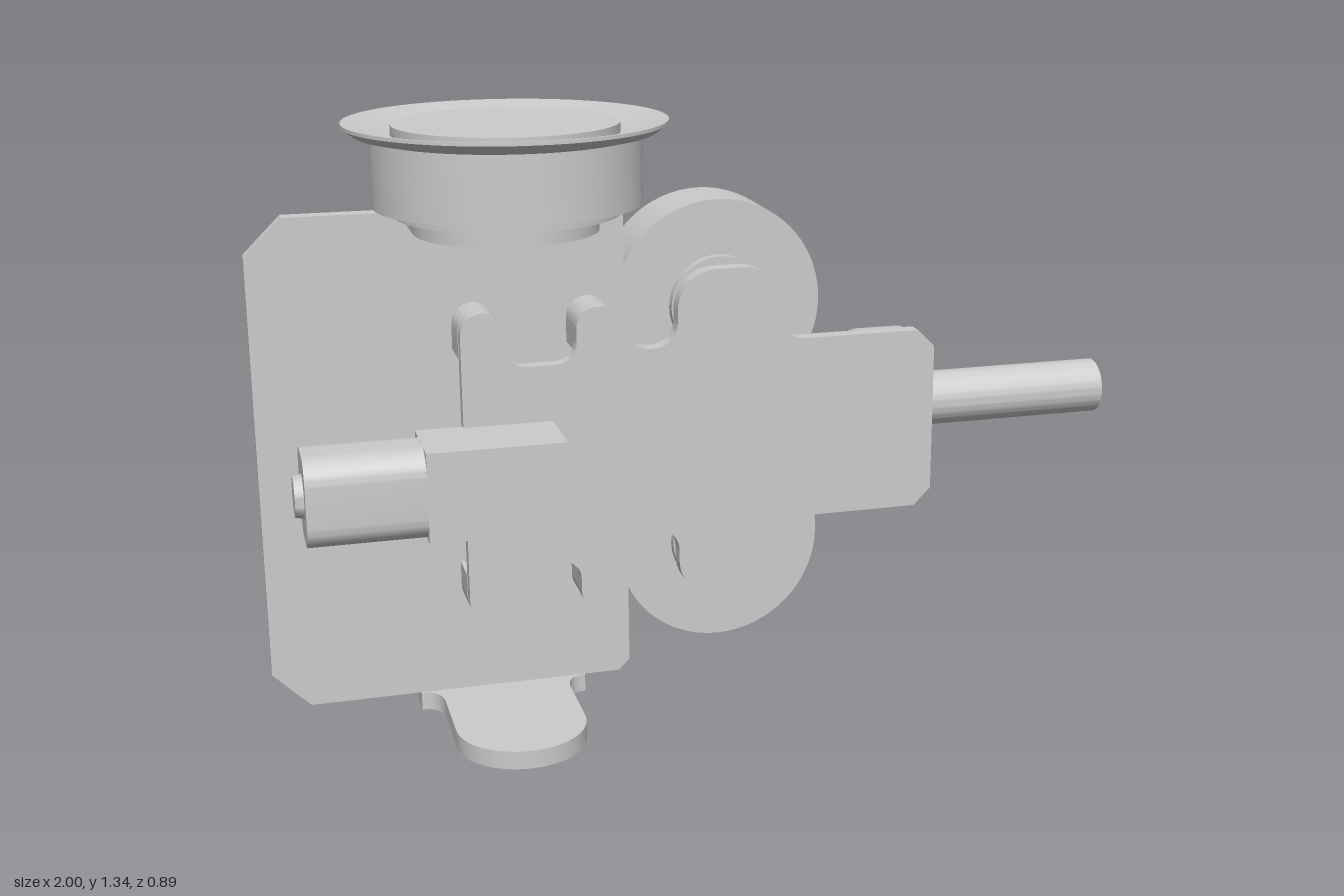
import * as THREE from 'three';
import { toCreasedNormals } from 'three/addons/utils/BufferGeometryUtils.js';

const MID = 0.58; // height of the mirror line
const material = new THREE.MeshStandardMaterial({ color: 0xcccccc });

// Closed outline from [x, y, cornerRadius] points
function outline(pts) {
  const shape = new THREE.Shape();
  const n = pts.length, k = 0.552;
  const toward = (p, q, d) => {
    const l = Math.hypot(q[0] - p[0], q[1] - p[1]);
    return [p[0] + (q[0] - p[0]) * d / l, p[1] + (q[1] - p[1]) * d / l];
  };
  pts.forEach((p, i) => {
    const r = p[2] || 0, prev = pts[(i + n - 1) % n], next = pts[(i + 1) % n];
    const a = toward(p, prev, r), b = toward(p, next, r);
    if (i === 0) shape.moveTo(...a); else shape.lineTo(...a);
    if (r) shape.bezierCurveTo(...toward(p, prev, r * (1 - k)), ...toward(p, next, r * (1 - k)), ...b);
  });
  shape.closePath();
  return shape;
}

// Upper half points mirrored about y = 0
const mirrored = (half) => outline([...half, ...half.map(([x, y, r]) => [x, -y, r]).reverse()]);

const extrude = (shape, depth, opts = {}) =>
  new THREE.ExtrudeGeometry(shape, { depth, bevelEnabled: false, curveSegments: 12, ...opts });

const lathe = (pts) =>
  new THREE.LatheGeometry(pts.map((p) => new THREE.Vector2(...p)), 64);

export function createModel() {
  const group = new THREE.Group();
  const add = (name, geo, x = 0, y = 0, z = 0) => {
    const mesh = new THREE.Mesh(toCreasedNormals(geo, 0.6), material);
    mesh.name = name;
    mesh.position.set(x, y, z);
    group.add(mesh);
    return mesh;
  };
  const box = (name, x0, x1, y0, y1, z0, z1) =>
    add(name, new THREE.BoxGeometry(x1 - x0, y1 - y0, z1 - z0), (x0 + x1) / 2, (y0 + y1) / 2, (z0 + z1) / 2);

  // Back plate with the two wheel lobes and the arm on its left
  add('mainPlate', extrude(mirrored([
    [0.52, 0.17], [0.48, 0.21], [0.155, 0.21, 0.05], [0.155, 0.38, 0.09], [-0.085, 0.38, 0.09],
    [-0.085, 0.21, 0.055], [-0.205, 0.21, 0.06], [-0.205, 0.515], [-0.23, 0.54], [-0.92, 0.54], [-1, 0.46],
  ]), 0.038), 0, MID, -0.142);

  // Four-pronged clip standing off the plate
  add('clipPlate', extrude(mirrored([
    [-0.24, 0.34, 0.045], [-0.335, 0.34, 0.045], [-0.335, 0.22, 0.045],
    [-0.49, 0.22, 0.045], [-0.49, 0.34, 0.045], [-0.58, 0.34, 0.045],
  ]), 0.03), 0, MID, -0.02);
  for (const x of [-0.535, -0.288]) {
    for (const s of [1, -1]) {
      const post = outline([
        [-0.046, s * 0.24], [0.046, s * 0.24], [0.046, s * 0.34, 0.045], [-0.046, s * 0.34, 0.045],
      ]);
      add('clipPost', extrude(post, 0.09), x, MID, -0.108);
      add('clipPin', new THREE.CylinderGeometry(0.024, 0.024, 0.1, 24).rotateX(Math.PI / 2), x, MID + s * 0.28, -0.14);
    }
  }

  // Wheels with spacer, hub and back disc
  for (const s of [1, -1]) {
    add('wheel', lathe([
      [0, 0.13], [0.075, 0.13], [0.075, 0.177], [0.113, 0.177], [0.113, 0.2], [0.238, 0.2],
      [0.238, 0.36], [0.166, 0.36], [0.166, 0.403], [0, 0.403],
    ]).rotateX(-Math.PI / 2), 0.033, MID + s * 0.279, 0);
  }

  // Collar with a flat side against the arm
  const r = 0.177, a = Math.acos(-0.12 / r), bevel = 0.01;
  const collar = new THREE.Shape();
  collar.absarc(0, 0, r, -a, a, false);
  collar.closePath();
  collar.holes.push(new THREE.Path().absarc(0, 0, 0.072, 0, Math.PI * 2, true));
  add('collar', extrude(collar, 0.105, {
    bevelEnabled: true, bevelSize: bevel, bevelThickness: bevel, bevelOffset: -bevel, bevelSegments: 3, curveSegments: 32,
  }).rotateY(Math.PI / 2), 0.4, MID, -0.265);

  // Hollow rod through the collar
  add('rod', lathe([
    [0.057, 0], [0.064, 0], [0.064, 0.82], [0.057, 0.82], [0.057, 0],
  ]).rotateZ(-Math.PI / 2), 0.18, MID, -0.265);

  // Upper bracket: round-ended shelf
  const shelf = new THREE.Shape();
  shelf.moveTo(-0.185, -0.272);
  shelf.lineTo(0.185, -0.272);
  shelf.lineTo(0.185, 0.125);
  shelf.absarc(0, 0.125, 0.185, 0, Math.PI, false);
  shelf.closePath();
  add('upperShelf', extrude(shelf, 0.04).rotateX(Math.PI / 2), -0.495, 1.155, 0);

  // Lower bracket: tongue narrowing to a rounded end
  const tongue = new THREE.Shape();
  tongue.moveTo(-0.185, -0.272);
  tongue.lineTo(0.185, -0.272);
  tongue.lineTo(0.185, -0.1);
  tongue.quadraticCurveTo(0.14, -0.1, 0.14, -0.04);
  tongue.lineTo(0.14, 0.113);
  tongue.absarc(0, 0.113, 0.14, 0, Math.PI, false);
  tongue.lineTo(-0.14, -0.04);
  tongue.quadraticCurveTo(-0.14, -0.1, -0.185, -0.1);
  tongue.closePath();
  add('lowerTongue', extrude(tongue, 0.04).rotateX(Math.PI / 2), -0.495, 0.04, 0);

  // Paired blocks behind the plate on both brackets
  for (const [x0, x1] of [[-0.68, -0.555], [-0.435, -0.31]]) {
    box('upperBracketBlock', x0, x1, 0.985, 1.12, -0.272, -0.14);
    box('lowerBracketBlock', x0, x1, 0.035, 0.17, -0.272, -0.14);
  }

  // Round flanged cup on the shelf
  add('cup', lathe([
    [0, 1.15], [0.225, 1.15], [0.225, 1.17], [0.267, 1.17], [0.267, 1.305], [0.298, 1.312],
    [0.32, 1.328], [0.32, 1.335], [0.313, 1.335], [0.24, 1.31], [0.225, 1.31], [0.225, 1.33], [0, 1.33],
  ]), -0.49, 0, 0.125);

  // Motor on the clip: square body, rounded rear section and end button
  box('motorBody', -0.68, -0.39, 0.486, 0.678, 0, 0.172);
  const section = outline([
    [-0.085, -0.095, 0.052], [0.085, -0.095, 0.052], [0.085, 0.095, 0.052], [-0.085, 0.095, 0.052],
  ]);
  add('motorRear', extrude(section, 0.25).rotateY(Math.PI / 2), -0.922, 0.582, 0.087);
  add('motorButton', new THREE.CylinderGeometry(0.042, 0.048, 0.03, 32).rotateZ(Math.PI / 2), -0.925, 0.585, 0.09);

  return group;
}
